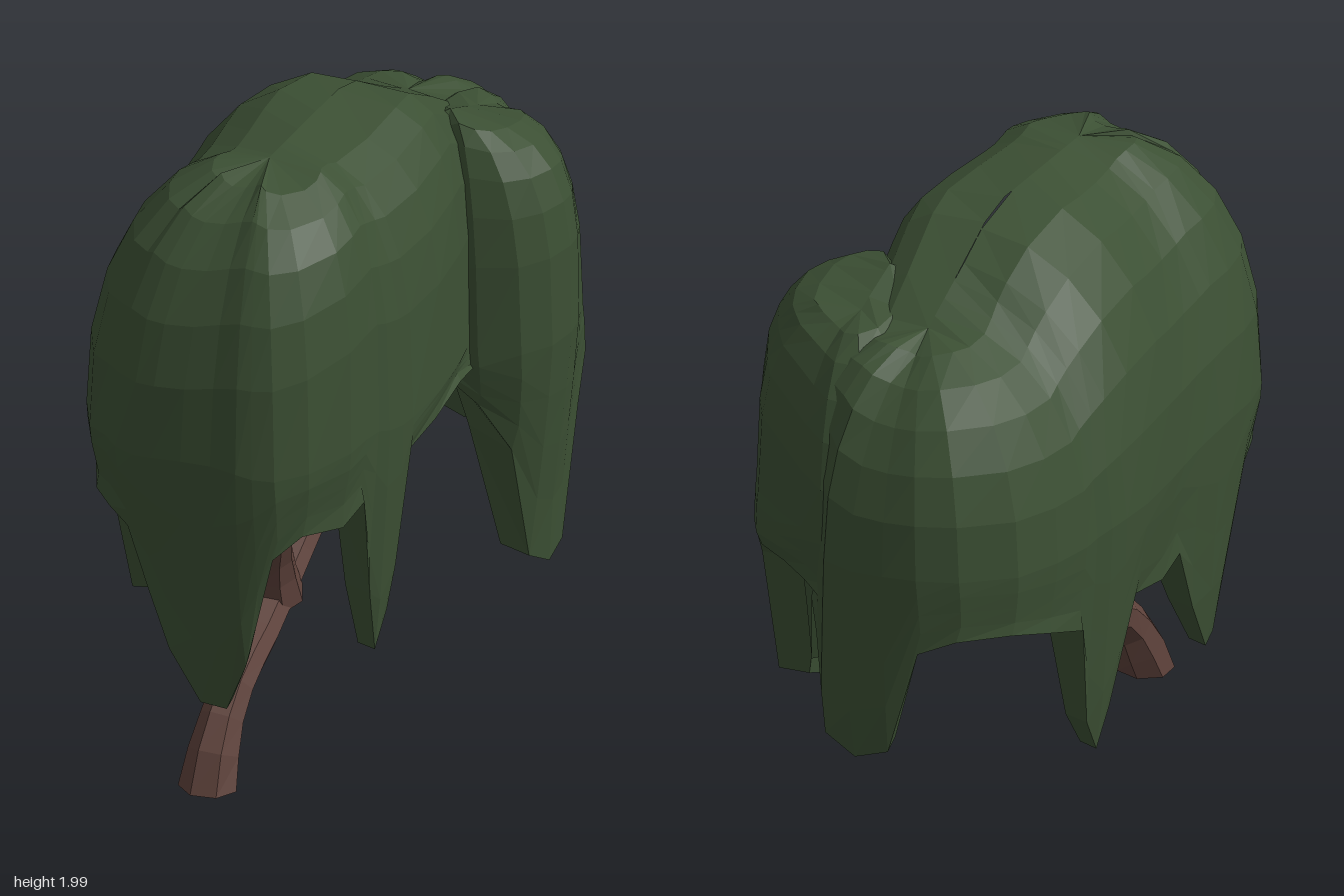
import * as THREE from 'three';

const leafMat = new THREE.MeshStandardMaterial({ color: 0x3c5034, flatShading: true });
const barkMat = new THREE.MeshStandardMaterial({ color: 0x5e423b, flatShading: true });
const { lerp, clamp } = THREE.MathUtils;

// Piecewise-linear curve through [position, value] pairs
function curveAt(pairs, t) {
  for (let i = 1; i < pairs.length; i++) {
    const [a, va] = pairs[i - 1], [b, vb] = pairs[i];
    if (t <= b) return lerp(va, vb, clamp((t - a) / (b - a), 0, 1));
  }
  return pairs[pairs.length - 1][1];
}

// Small fixed wobble that makes the foliage facets irregular
const wobble = (i, j, k) => 0.013 * Math.sin(i * 12.9 + j * 7.3 + k * 4.1);

// Hanging foliage: a dome over a spine, falling to a rim of drooping strands, closed underneath.
// outline holds [x, z, rim height] going front, +x, back, -x.
function foliage(name, outline, spine, ridge, thickness) {
  const shoulder = 1.15, domeRows = 6, skirtRows = 4;
  const rows = domeRows + skirtRows + 5, cols = outline.length;
  const pos = [], index = [];
  for (let i = 0; i < rows; i++) {
    outline.forEach(([ox, oz, rim], j) => {
      const sx = spine.x, sz = clamp(oz, spine.back, spine.front);
      const reach = Math.hypot(ox - sx, oz - sz);
      const nx = (ox - sx) / reach, nz = (oz - sz) / reach;
      const lean = (y) => reach - (0.09 + 0.07 * nz) * Math.max(0, 1.1 - y);
      const top = curveAt(ridge, sz);
      let r, y;
      const k = i - domeRows - skirtRows;
      if (i <= domeRows) {
        // rounded crown
        const a = (i / domeRows) * Math.PI / 2, n = 2.2 + Math.max(0, nx);
        r = reach * Math.pow(Math.sin(a), 2 / n);
        y = shoulder + (top - shoulder) * Math.pow(Math.max(0, Math.cos(a)), 2 / n);
      } else if (k <= 0) {
        // outer side of the strands
        y = lerp(shoulder, rim, (i - domeRows) / skirtRows);
        r = lean(y);
      } else if (k <= 2) {
        // inner side of the strands, thinner towards the tips
        y = lerp(rim + 0.01, shoulder, (k - 1) * 0.6);
        r = lean(y) - thickness * clamp(y / 0.9, 0.4, 1);
      } else {
        // hollow underside
        y = k === 3 ? shoulder : shoulder + 0.12;
        r = k === 3 ? reach * 0.65 : 0;
      }
      const w = i > 0 && k < 0 ? 1 : 0;
      pos.push(
        sx + nx * r + w * wobble(i, j, 1),
        y + w * wobble(i, j, 2),
        sz + nz * r + w * wobble(i, j, 3));
    });
  }
  for (let i = 0; i < rows - 1; i++) {
    for (let j = 0; j < cols; j++) {
      const j2 = (j + 1) % cols;
      const a = i * cols + j, b = i * cols + j2, c = a + cols, d = b + cols;
      index.push(c, d, b, c, b, a);
    }
  }
  const geo = new THREE.BufferGeometry();
  geo.setAttribute('position', new THREE.Float32BufferAttribute(pos, 3));
  geo.setIndex(index);
  geo.computeVertexNormals();
  const mesh = new THREE.Mesh(geo, leafMat);
  mesh.name = name;
  return mesh;
}

// Tapered limb along a smooth path; radii are spread evenly from start to end
function limb(name, points, radii, flatBase = false) {
  const curve = new THREE.CatmullRomCurve3(points.map((p) => new THREE.Vector3(...p)));
  const steps = points.length * 2, sides = 7;
  const geo = new THREE.TubeGeometry(curve, steps, 1, sides);
  const p = geo.attributes.position, v = new THREE.Vector3();
  const table = radii.map((r, i) => [i / (radii.length - 1), r]);
  for (let i = 0; i <= steps; i++) {
    const c = curve.getPointAt(i / steps), r = curveAt(table, i / steps);
    for (let j = 0; j <= sides; j++) {
      const n = i * (sides + 1) + j;
      v.fromBufferAttribute(p, n).sub(c).multiplyScalar(r).add(c);
      if (flatBase && i === 0) v.y = 0;
      p.setXYZ(n, v.x, v.y, v.z);
    }
  }
  geo.computeVertexNormals();
  const mesh = new THREE.Mesh(geo, barkMat);
  mesh.name = name;
  return mesh;
}

export function createModel() {
  const tree = new THREE.Group();
  tree.name = 'weepingTree';

  // Main crown with its strands
  const crown = [
    [-0.32, 0.87, 0.86], [-0.26, 0.9, 0.66], [-0.2, 0.92, 0.47], [-0.09, 0.93, 0.3],
    [0.02, 0.92, 0.29], [0.11, 0.91, 0.46], [0.15, 0.89, 0.62], [0.2, 0.87, 0.85],
    [0.27, 0.8, 0.92], [0.34, 0.65, 0.9], [0.36, 0.55, 0.95], [0.37, 0.47, 0.6],
    [0.38, 0.42, 0.39], [0.38, 0.36, 0.5], [0.38, 0.32, 1.02], [0.39, 0.15, 1.06],
    [0.38, -0.03, 1.1], [0.36, -0.15, 1.08], [0.34, -0.35, 1], [0.33, -0.5, 1],
    [0.33, -0.62, 0.95], [0.3, -0.68, 0.7], [0.25, -0.75, 0.68], [0.21, -0.8, 0.93],
    [0.16, -0.86, 0.85], [0.1, -0.92, 0.55], [-0.01, -0.93, 0.5], [-0.12, -0.92, 0.54],
    [-0.22, -0.91, 0.9], [-0.33, -0.87, 0.95], [-0.46, -0.75, 0.95], [-0.52, -0.6, 0.9],
    [-0.56, -0.46, 0.85], [-0.57, -0.4, 0.5], [-0.58, -0.34, 0.38], [-0.58, -0.28, 0.5],
    [-0.58, -0.17, 0.84], [-0.57, 0.02, 0.79], [-0.57, 0.12, 0.83], [-0.57, 0.24, 0.58],
    [-0.57, 0.35, 0.39], [-0.56, 0.41, 0.41], [-0.55, 0.52, 0.9], [-0.52, 0.65, 0.95],
    [-0.46, 0.78, 0.92], [-0.39, 0.84, 0.9],
  ];
  tree.add(foliage('crown', crown, { x: -0.03, back: -0.5, front: 0.43 },
    [[-0.5, 1.77], [-0.25, 1.9], [-0.1, 1.99], [0.43, 1.97]], 0.13));

  // Rear side lobe, blending into the back of the crown, with one long strand
  const lobe = [
    [0.38, -0.16, 0.95], [0.49, -0.2, 0.8], [0.55, -0.27, 0.42], [0.58, -0.35, 0.38],
    [0.58, -0.43, 0.42], [0.56, -0.5, 0.85], [0.53, -0.57, 0.96], [0.47, -0.64, 0.96],
    [0.35, -0.71, 0.97], [0.24, -0.78, 0.97], [0.14, -0.86, 0.97], [0, -0.87, 1],
    [-0.08, -0.7, 1.03], [-0.1, -0.45, 1.05], [0, -0.25, 1.05], [0.2, -0.17, 1.05],
  ];
  tree.add(foliage('sideLobe', lobe, { x: 0.2, back: -0.5, front: -0.32 },
    [[-0.5, 1.77], [-0.32, 1.84]], 0.22));

  // Leaning trunk and its branches
  tree.add(limb('trunk', [
    [-0.07, 0, 0.76], [-0.07, 0.15, 0.69], [-0.07, 0.27, 0.58], [-0.08, 0.36, 0.37],
    [-0.09, 0.44, 0.22], [-0.09, 0.59, 0], [-0.08, 0.8, -0.23], [-0.09, 1, -0.42], [-0.1, 1.25, -0.58],
  ], [0.093, 0.066, 0.062, 0.058, 0.055, 0.05, 0.045, 0.035, 0.025], true));
  tree.add(limb('frontBranch', [
    [-0.09, 0.41, 0.26], [-0.08, 0.53, 0.3], [-0.03, 0.68, 0.37], [0.02, 0.95, 0.42], [0.04, 1.3, 0.43],
  ], [0.085, 0.05, 0.035, 0.03, 0.025]));
  tree.add(limb('frontTwig', [[-0.04, 0.66, 0.36], [-0.12, 0.88, 0.41], [-0.2, 1.25, 0.42]],
    [0.03, 0.028, 0.02]));
  tree.add(limb('middleBranch', [
    [-0.08, 0.78, -0.21], [0, 0.9, -0.17], [0.08, 1.08, -0.11], [0.12, 1.35, -0.07],
  ], [0.05, 0.04, 0.035, 0.025]));
  tree.add(limb('lobeBranch', [[-0.09, 0.92, -0.34], [0.08, 0.97, -0.45], [0.26, 1.2, -0.5]],
    [0.035, 0.03, 0.02]));

  // Underside of the trunk
  const base = new THREE.Mesh(new THREE.CircleGeometry(0.09, 7), barkMat);
  base.name = 'trunkBase';
  base.rotation.x = Math.PI / 2;
  base.position.set(-0.07, 0.002, 0.76);
  tree.add(base);
  return tree;
}
